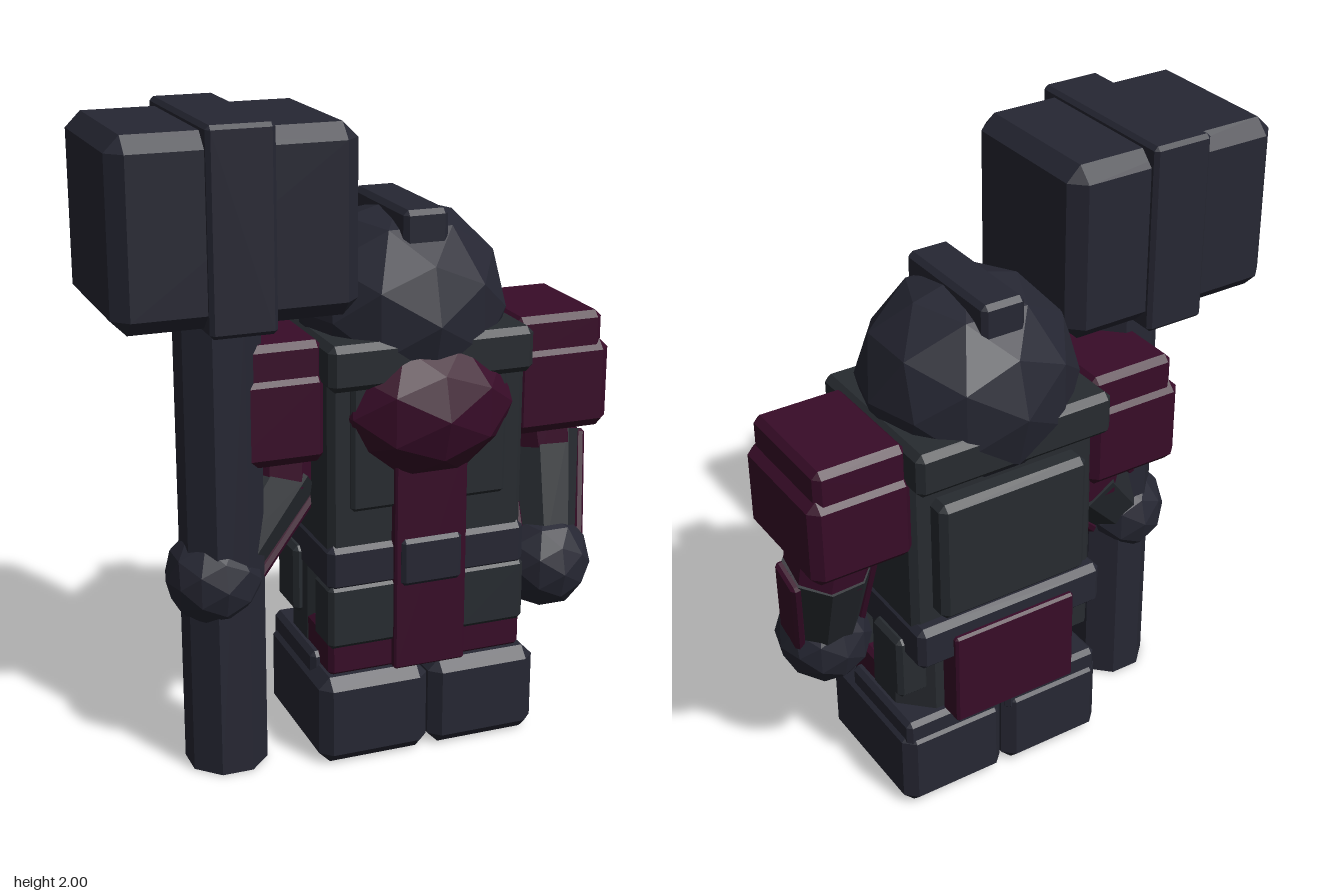
import * as THREE from 'three';
import { ConvexGeometry } from 'three/addons/geometries/ConvexGeometry.js';

const steel = new THREE.MeshStandardMaterial({ color: 0x262733 });
steel.name = 'dark steel';
const slate = new THREE.MeshStandardMaterial({ color: 0x272b30 });
slate.name = 'slate cloth';
const maroon = new THREE.MeshStandardMaterial({ color: 0x380c28 });
maroon.name = 'maroon';

const MID = 0.167; // the figure's own centre line

export function createModel() {
  const model = new THREE.Group();
  model.name = 'hammerWarrior';

  function add(name, geometry, material, parent = model) {
    const mesh = new THREE.Mesh(geometry, material);
    mesh.name = name;
    parent.add(mesh);
    return mesh;
  }

  // Faceted copy of a geometry
  function faceted(geometry) {
    const g = geometry.index ? geometry.toNonIndexed() : geometry;
    g.computeVertexNormals();
    return g;
  }

  // Box with chamfered edges, given by its extents
  function block(name, material, x, y, z, c = 0.02, parent = model) {
    const half = [x, y, z].map(([a, b]) => (b - a) / 2);
    const points = [];
    for (const sx of [-1, 1]) for (const sy of [-1, 1]) for (const sz of [-1, 1])
      for (let axis = 0; axis < 3; axis++) {
        const p = [sx, sy, sz].map((s, i) => s * (half[i] - (i === axis ? 0 : c)));
        points.push(new THREE.Vector3(...p));
      }
    const mesh = add(name, new ConvexGeometry(points), material, parent);
    mesh.position.set((x[0] + x[1]) / 2, (y[0] + y[1]) / 2, (z[0] + z[1]) / 2);
    return mesh;
  }

  // Extents mirrored about the centre line
  const wide = (h) => [MID - h, MID + h];
  const sideSpan = (s, a, b) => (s > 0 ? [MID + a, MID + b] : [MID - b, MID - a]);

  function ball(name, material, pos, radii) {
    const g = new THREE.IcosahedronGeometry(1, 1);
    g.scale(...radii);
    add(name, faceted(g), material).position.set(...pos);
  }

  // Group whose y axis runs from point a up to point b
  function span(name, a, b) {
    const group = new THREE.Group();
    const from = new THREE.Vector3(...a), to = new THREE.Vector3(...b);
    const dir = to.clone().sub(from);
    group.name = name;
    group.position.copy(from).add(to).multiplyScalar(0.5);
    group.quaternion.setFromUnitVectors(new THREE.Vector3(0, 1, 0), dir.clone().normalize());
    model.add(group);
    return [group, dir.length()];
  }

  function prism(rTop, rBottom, height, sides = 8) {
    const g = new THREE.CylinderGeometry(rTop, rBottom, height, sides);
    g.rotateY(Math.PI / sides);
    return faceted(g);
  }

  // Hammer
  block('hammerHead', steel, [-0.8, -0.09], [1.44, 1.98], [-0.2, 0.325], 0.045);
  block('hammerBand', steel, [-0.54, -0.345], [1.42, 2], [-0.22, 0.345], 0.012);
  add('hammerHandle', prism(0.127, 0.127, 1.45), steel).position.set(-0.44, 0.73, 0.065);

  // Helmet, crest and beard
  ball('helmet', steel, [MID, 1.37, -0.04], [0.325, 0.32, 0.325]);
  block('helmetCrest', steel, [0.1, 0.24], [1.5, 1.69], [-0.25, 0.165], 0.015);
  ball('beard', maroon, [0.175, 1.1, 0.08], [0.3, 0.245, 0.265]);

  // Torso
  block('torso', slate, wide(0.315), [0.58, 1.3], [-0.24, 0.2]);
  block('collar', slate, wide(0.325), [1.19, 1.33], [-0.315, 0.24], 0.02);
  block('chestPlate', slate, wide(0.25), [0.81, 1.25], [0.15, 0.215], 0.012);
  block('backPlate', slate, wide(0.25), [0.73, 1.13], [-0.305, -0.2], 0.02);

  // Belt and hanging cloth
  block('belt', steel, wide(0.322), [0.56, 0.705], [-0.285, 0.215], 0.02);
  block('buckle', steel, wide(0.098), [0.56, 0.71], [0.18, 0.245], 0.012);
  block('frontTabard', maroon, wide(0.116), [0.285, 1.0], [0.17, 0.232], 0.006);
  block('backTabard', maroon, wide(0.21), [0.33, 0.65], [-0.302, -0.215], 0.008);
  block('tunicHem', maroon, wide(0.318), [0.28, 0.42], [-0.02, 0.205], 0.015);

  for (const s of [1, -1]) {
    const side = s > 0 ? 'left' : 'right';
    // Skirt panels and legs
    block(side + 'SkirtPanel', slate, sideSpan(s, 0.1, 0.322), [0.375, 0.58], [0.08, 0.218], 0.015);
    block(side + 'HipPouch', slate, sideSpan(s, 0.24, 0.345), [0.4, 0.62], [-0.19, -0.03], 0.015);
    add(side + 'Leg', prism(0.165, 0.17, 0.36), slate).position.set(MID + s * 0.165, 0.43, -0.05);

    // Boots
    block(side + 'Boot', steel, sideSpan(s, 0.003, 0.357), [0.003, 0.287], [-0.245, 0.25], 0.035);
    block(side + 'BootCuff', steel, sideSpan(s, 0.01, 0.345), [0.22, 0.328], [-0.235, 0.12], 0.015);

    // Shoulder armour in two tiers
    block(side + 'ShoulderPad', maroon, sideSpan(s, 0.3, 0.625), [0.96, 1.24], [-0.25, 0.165], 0.03);
    block(side + 'ShoulderCap', maroon, sideSpan(s, 0.31, 0.6), [1.18, 1.33], [-0.235, 0.15], 0.02);
  }

  // Arms: the left hangs, the right reaches out to the handle
  const arms = [
    { side: 'left', shoulder: [0.615, 1.08, -0.05], elbow: [0.645, 0.87, -0.03],
      wrist: [0.62, 0.57, 0.08], hand: [0.612, 0.52, 0.1] },
    { side: 'right', shoulder: [-0.235, 1.08, -0.05], elbow: [-0.245, 0.87, -0.03],
      wrist: [-0.44, 0.64, 0.06], hand: [-0.468, 0.615, 0.065] },
  ];
  for (const { side, shoulder, elbow, wrist, hand } of arms) {
    const [upper, upperLength] = span(side + 'UpperArm', elbow, shoulder);
    add('sleeve', prism(0.14, 0.13, upperLength + 0.04), maroon, upper);

    const [fore, length] = span(side + 'Forearm', wrist, elbow);
    add('forearmSleeve', prism(0.135, 0.105, length + 0.06), slate, fore);
    for (const s of [1, -1]) {
      const guard = block('armGuard', maroon, [-0.018, 0.018], [-length / 2, length / 2 + 0.03],
        [-0.058, 0.058], 0.01, fore);
      guard.position.x = s * 0.115;
      guard.rotation.z = -s * 0.08;
    }
    ball(side + 'Hand', steel, hand, [0.147, 0.155, 0.158]);
  }

  return model;
}
